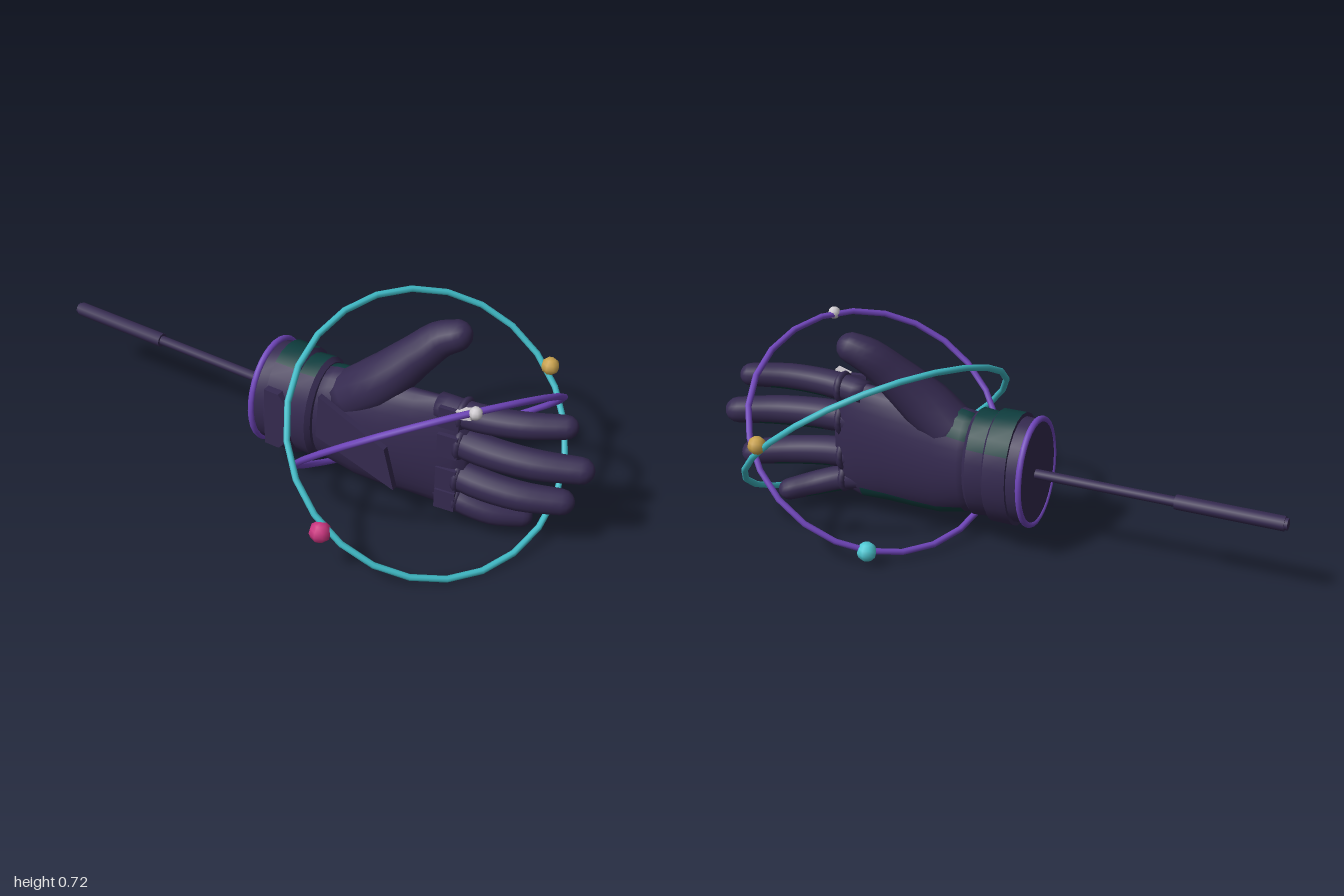
import * as THREE from 'three';
import { toCreasedNormals } from 'three/addons/utils/BufferGeometryUtils.js';

const V = (x, y, z) => new THREE.Vector3(x, y, z);
const mat = (name, color) => {
  const m = new THREE.MeshStandardMaterial({ color });
  m.name = name;
  return m;
};

// Skin over rings {c, u, v}; pick(i, degrees) tells which quads take the second material
function loft(rings, n, pick = () => false) {
  const pos = [], lists = [[], []];
  for (const { c, u, v } of rings) {
    for (let j = 0; j < n; j++) {
      const a = (j / n) * Math.PI * 2;
      const p = c.clone().addScaledVector(u, Math.cos(a)).addScaledVector(v, Math.sin(a));
      pos.push(p.x, p.y, p.z);
    }
  }
  const last = rings.length - 1, s = pos.length / 3;
  for (const k of [0, last]) pos.push(...rings[k].c.toArray());
  for (let j = 0; j < n; j++) {
    const k = (j + 1) % n;
    for (let i = 0; i < last; i++) {
      const a = i * n + j, b = i * n + k;
      lists[pick(i, ((j + 0.5) / n) * 360) ? 1 : 0].push(a, b, a + n, b, b + n, a + n);
    }
    lists[0].push(s, k, j, s + 1, last * n + j, last * n + k);
  }
  const g = new THREE.BufferGeometry();
  g.setAttribute('position', new THREE.Float32BufferAttribute(pos, 3));
  g.setIndex([...lists[0], ...lists[1]]);
  g.addGroup(0, lists[0].length, 0);
  if (lists[1].length) g.addGroup(lists[0].length, lists[1].length, 1);
  g.computeVertexNormals();
  return g;
}

// Elliptical sections along x: [x, yCentre, zCentre, yRadius, zRadius]
const sections = (rows) => rows.map(([x, y, z, ry, rz]) => ({ c: V(x, y, z), u: V(0, ry, 0), v: V(0, 0, rz) }));

// Round-tipped limb through points with a radius at each
function limb(points, radii, pick) {
  const curve = new THREE.CatmullRomCurve3(points.map((p) => V(...p)));
  const rings = [], steps = 12;
  const add = (c, t, r) => {
    const u = V(0, 1, 0).addScaledVector(t, -t.y).normalize();
    rings.push({ c, u: u.clone().multiplyScalar(r), v: t.clone().cross(u).multiplyScalar(r) });
  };
  for (let i = 0; i <= steps; i++) {
    const f = (i / steps) * (radii.length - 1), k = Math.min(Math.floor(f), radii.length - 2);
    add(curve.getPoint(i / steps), curve.getTangent(i / steps), THREE.MathUtils.lerp(radii[k], radii[k + 1], f - k));
  }
  const end = curve.getPoint(1), t = curve.getTangent(1), r = radii[radii.length - 1];
  for (const d of [25, 50, 70, 85]) {
    const a = THREE.MathUtils.degToRad(d);
    add(end.clone().addScaledVector(t, r * Math.sin(a)), t, r * Math.cos(a));
  }
  return loft(rings, 14, pick);
}

export function createModel() {
  const model = new THREE.Group();
  const dark = mat('dark violet', 0x352a50), green = mat('deep green', 0x0e3d3e);
  const purple = mat('purple', 0x6f45ba), teal = mat('teal', 0x3fbac6);
  const pink = mat('pink', 0xc9357f), gold = mat('gold', 0xc9a24e);
  const white = mat('pale grey', 0xcfcbd0), cyan = mat('cyan', 0x4fcbd6);
  const add = (name, geometry, material, parent = model) => {
    const m = new THREE.Mesh(geometry, material);
    m.name = name;
    parent.add(m);
    return m;
  };
  const skin = [dark, green];

  // Handle rod and its thicker grip
  for (const [name, x0, x1, r] of [['rod', -0.65, -0.13, 0.017], ['grip', -0.99, -0.63, 0.025], ['gripEnd', -1, -0.985, 0.02]]) {
    const m = add(name, new THREE.CylinderGeometry(r, r, x1 - x0, 10), dark);
    m.rotation.z = Math.PI / 2;
    m.position.set((x0 + x1) / 2, 0.3, -0.012);
  }

  // Stepped cuff with a green sector on the upper back
  const cuff = loft(sections([
    [-0.145, 0.3, 0, 0.18, 0.148], [-0.09, 0.3, 0, 0.186, 0.142], [-0.09, 0.3, 0, 0.2, 0.152],
    [-0.01, 0.3, 0, 0.2, 0.15], [0, 0.3, 0, 0.186, 0.136], [0.06, 0.3, 0, 0.192, 0.138], [0.075, 0.3, 0, 0.178, 0.124],
  ]), 24, (i, a) => (i === 2 || i === 4) && (a > 305 || a < 30));
  add('cuff', toCreasedNormals(cuff, 0.6), skin);
  const rim = add('cuffRim', new THREE.TorusGeometry(0.185, 0.011, 8, 32), purple);
  rim.rotation.y = Math.PI / 2;
  rim.scale.x = 0.82;
  rim.position.set(-0.14, 0.3, 0);
  const panel = new THREE.Shape([[-0.035, -0.11], [0.02, -0.11], [0.045, -0.08], [0.045, 0.08], [0.02, 0.11], [-0.035, 0.11]]
    .map((p) => new THREE.Vector2(...p)));
  add('cuffPanel', new THREE.ExtrudeGeometry(panel, { depth: 0.04, bevelEnabled: false }), dark).position.set(-0.05, 0.3, 0.112);

  // Palm, with green along the little finger side
  add('palm', loft(sections([
    [0.04, 0.3, 0, 0.165, 0.115], [0.1, 0.295, -0.005, 0.185, 0.112], [0.2, 0.29, -0.005, 0.205, 0.1],
    [0.3, 0.29, -0.005, 0.207, 0.088], [0.4, 0.295, -0.01, 0.208, 0.075], [0.5, 0.3, -0.015, 0.215, 0.06],
    [0.55, 0.305, -0.015, 0.205, 0.048], [0.59, 0.31, -0.015, 0.18, 0.03],
  ]), 28, (i, a) => (i > 0 && i < 5 && a > 165 && a < 225) || (i < 2 && a > 310)), skin);

  // Flap over the heel of the palm
  const flap = new THREE.Shape([[0.1, 0.43], [0.2, 0.385], [0.35, 0.32], [0.39, 0.17], [0.25, 0.215], [0.09, 0.265]]
    .map((p) => new THREE.Vector2(...p)));
  add('palmFlap', new THREE.ExtrudeGeometry(flap, { depth: 0.022, bevelEnabled: false }), dark).position.z = 0.09;

  // Fingers: root y, tip y, tip x, radius
  const fingers = [['indexFinger', 0.475, 0.507, 0.925, 0.045], ['middleFinger', 0.37, 0.362, 0.995, 0.051],
    ['ringFinger', 0.24, 0.21, 0.94, 0.05], ['littleFinger', 0.16, 0.09, 0.8, 0.043]];
  for (const [name, y0, y1, tip, r] of fingers) {
    const end = tip - r, at = (f) => 0.48 + (end - 0.48) * f, y = (f) => y0 + (y1 - y0) * f;
    add(name, limb([[at(0), y(0), -0.015], [at(0.35), y(0.35), -0.008], [at(0.7), y(0.75), -0.035], [end, y1, -0.09]],
      [r, r * 1.05, r, r * 0.88], (i, a) => i > 3 && i < 10 && a > 195 && a < 235), skin);
    // Fold at the finger root
    const fold = add(name + 'Fold', new THREE.TorusGeometry(r * 0.98, 0.013, 6, 16), dark);
    fold.rotation.y = Math.PI / 2;
    fold.position.set(0.57, y(0.25), -0.01);
    const pad = add(name + 'Pad', new THREE.BoxGeometry(0.07, r * 1.7, 0.016), dark);
    pad.position.set(0.54, y(0.15), 0.037);
    pad.rotation.y = 0.12;
  }

  // Thumb
  add('thumb', limb([[0.13, 0.37, 0], [0.25, 0.475, -0.01], [0.36, 0.595, -0.06], [0.42, 0.657, -0.095], [0.472, 0.684, -0.112]],
    [0.09, 0.088, 0.068, 0.06, 0.052]), dark);

  // Pale chip beside the index finger root
  const chip = add('paleChip', new THREE.BoxGeometry(0.05, 0.03, 0.03), white);
  chip.position.set(0.59, 0.513, 0.027);
  chip.rotation.z = 0.3;

  // Two tilted hoops crossing around the hand
  for (const [name, R, n, m] of [['tealHoop', 0.475, V(0.57, 0.723, 0.39), teal], ['purpleHoop', 0.446, V(0.557, -0.718, 0.417), purple]]) {
    const hoop = add(name, new THREE.TorusGeometry(R, 0.011, 8, 24), m);
    hoop.quaternion.setFromUnitVectors(V(0, 0, 1), n.normalize());
    hoop.position.set(0.443, 0.352, -0.014);
  }

  // Beads on the hoops
  for (const [name, x, y, z, r, m] of [['pinkBead', 0.315, 0.193, 0.432, 0.037, pink], ['goldBead', 0.655, 0.438, -0.44, 0.031, gold],
    ['cyanBead', 0.322, 0.067, -0.338, 0.034, cyan], ['paleBead', 0.702, 0.663, 0.184, 0.022, white]]) {
    add(name, new THREE.SphereGeometry(r, 8, 6), m).position.set(x, y, z);
  }
  return model;
}
